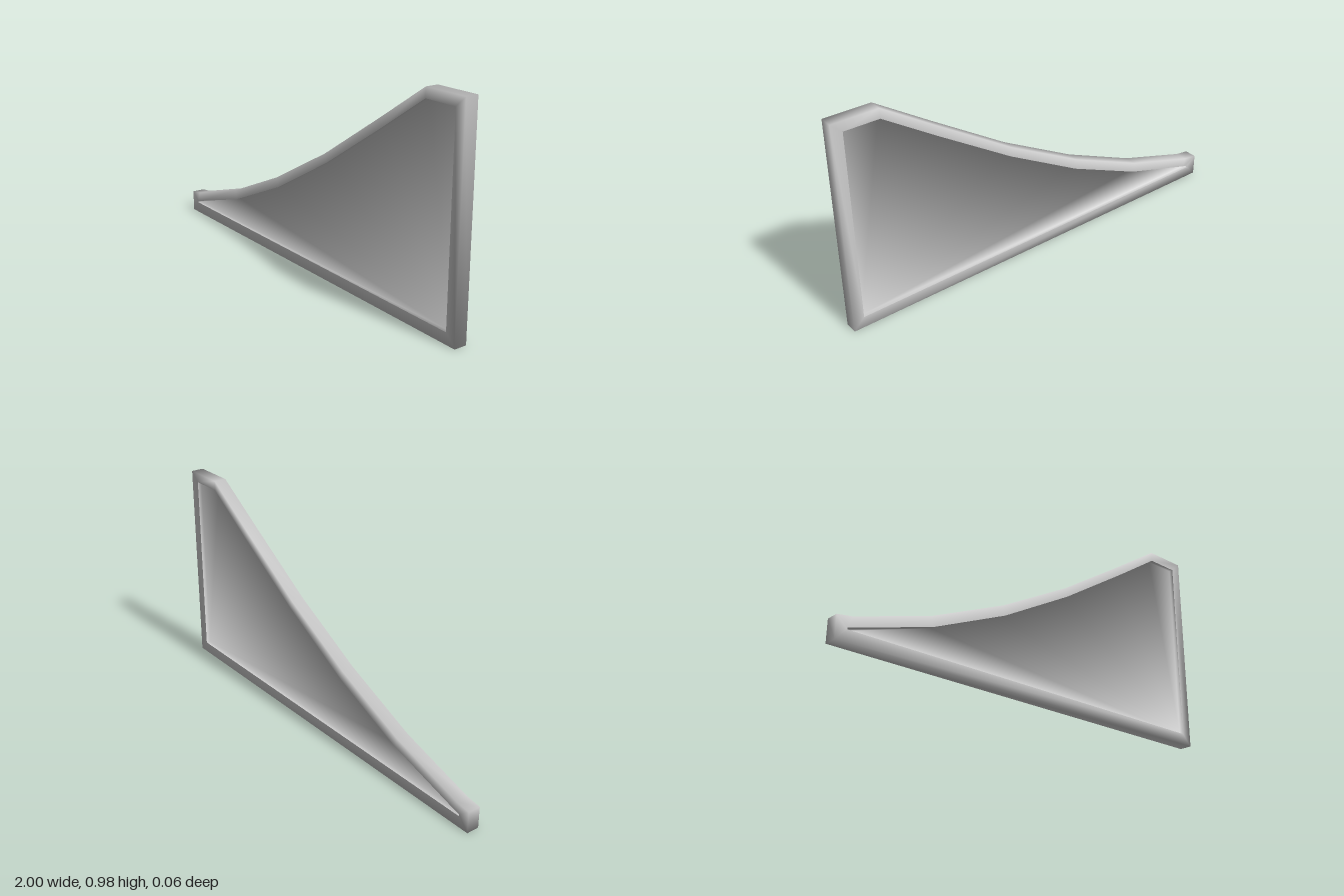
import * as THREE from 'three';

const HALF = 0.03;  // half thickness of the frame
const PANEL = 0.01; // half thickness of the sunken panel

// Matching outlines, counter-clockwise from the low front corner
const outer = [[-1, 0], [1, 0], [1, 0.98], [0.79, 0.98], [0.53, 0.81], [0.17, 0.58],
  [-0.2, 0.38], [-0.57, 0.22], [-0.93, 0.11], [-1, 0.1]];
const inner = [[-0.95, 0.052], [0.95, 0.052], [0.95, 0.935], [0.79, 0.935], [0.54, 0.77], [0.18, 0.54],
  [-0.19, 0.335], [-0.56, 0.175], [-0.92, 0.068], [-0.95, 0.06]];
const N = outer.length;

// Smooth band joining a list of [outline, z] loops
function band(loops) {
  const pos = [], index = [];
  for (const [outline, z] of loops) for (const [x, y] of outline) pos.push(x, y, z);
  for (let k = 0; k < loops.length - 1; k++) {
    for (let i = 0; i < N; i++) {
      const j = (i + 1) % N, a = k * N, b = a + N;
      index.push(b + i, b + j, a + j, b + i, a + j, a + i);
    }
  }
  const geo = new THREE.BufferGeometry();
  geo.setAttribute('position', new THREE.Float32BufferAttribute(pos, 3));
  geo.setIndex(index);
  geo.computeVertexNormals();
  return geo;
}

// Recess wall and panel face on one side (1 front, -1 back), shaded as one soft surface
function recess(side) {
  const loops = [[inner, side * PANEL], [inner, side * HALF]];
  const geo = band(side > 0 ? loops : loops.reverse());
  const start = side > 0 ? 0 : N;
  const normal = geo.attributes.normal, v = new THREE.Vector3();
  for (let i = start; i < start + N; i++) {
    v.fromBufferAttribute(normal, i);
    v.z += side;
    v.normalize();
    normal.setXYZ(i, v.x, v.y, v.z);
  }
  const index = Array.from(geo.index.array);
  const points = inner.map(([x, y]) => new THREE.Vector2(x, y));
  for (const [a, b, c] of THREE.ShapeUtils.triangulateShape(points, [])) {
    const tri = side > 0 ? [a, b, c] : [a, c, b];
    index.push(...tri.map((i) => i + start));
  }
  geo.setIndex(index);
  return geo;
}

export function createModel() {
  const model = new THREE.Group();
  model.name = 'rampSidePanel';
  const material = new THREE.MeshStandardMaterial({ color: 0xcccccc });
  const add = (name, geo) => {
    const mesh = new THREE.Mesh(geo, material);
    mesh.name = name;
    model.add(mesh);
  };

  // Raised border: front face, outer edge, back face
  add('frame', band([[inner, HALF], [outer, HALF], [outer, -HALF], [inner, -HALF]]));

  // Sunken panels on both sides
  add('frontPanel', recess(1));
  add('backPanel', recess(-1));
  return model;
}
